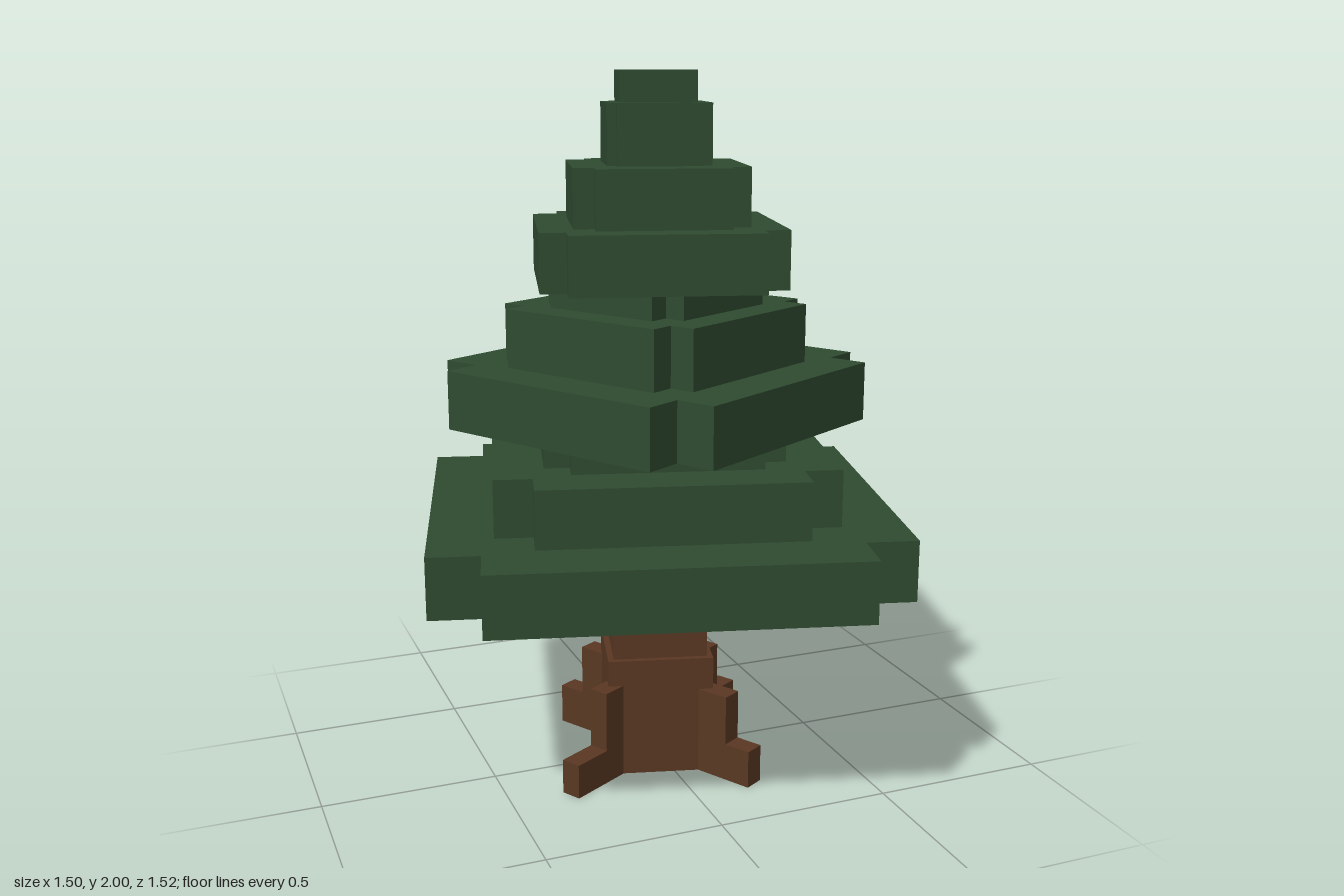
import * as THREE from 'three';

const needles = new THREE.MeshStandardMaterial({ color: 0x2f4b30 });
needles.name = 'needle green';
const bark = new THREE.MeshStandardMaterial({ color: 0x5a3823 });
bark.name = 'bark brown';

const rad = THREE.MathUtils.degToRad;

// Square slab with notched corners: arm = half reach, side = half width of each arm
function notchedSlab(arm, side, height) {
  const armZ = arm * 1.012;
  const outline = [
    [arm, -side], [arm, side], [side, side], [side, armZ], [-side, armZ], [-side, side],
    [-arm, side], [-arm, -side], [-side, -side], [-side, -armZ], [side, -armZ], [side, -side],
  ].map(([x, y]) => new THREE.Vector2(x, y));
  const geometry = new THREE.ExtrudeGeometry(new THREE.Shape(outline), { depth: height, bevelEnabled: false });
  return geometry.rotateX(-Math.PI / 2);
}

// Box standing on y0
function block(name, x0, x1, y0, y1, depth) {
  const geometry = new THREE.BoxGeometry(x1 - x0, y1 - y0, depth);
  geometry.translate((x0 + x1) / 2, (y0 + y1) / 2, 0);
  const mesh = new THREE.Mesh(geometry, bark);
  mesh.name = name;
  return mesh;
}

export function createModel() {
  const tree = new THREE.Group();
  tree.name = 'blockyPineTree';

  // Trunk: wide base and slimmer stem, both turned with the lower branches
  const trunk = new THREE.Group();
  trunk.name = 'trunk';
  trunk.rotation.y = rad(-15);
  trunk.add(block('trunkBase', -0.152, 0.152, 0, 0.35, 0.304));
  trunk.add(block('trunkStem', -0.135, 0.135, 0.35, 0.64, 0.27));
  tree.add(trunk);

  // Stepped roots at the trunk corners: angle, upper reach and height, lower reach and height
  const roots = [
    ['frontRoot', -60, 0.283, 0.255, 0.364, 0.11],
    ['leftRoot', 30, 0.271, 0.26, 0.358, 0.11],
    ['backRoot', 120, 0.266, 0.27, 0.352, 0.12],
    ['rightRoot', 210, 0.26, 0.275, 0.381, 0.1],
  ];
  for (const [name, angle, upperReach, upperTop, lowerReach, lowerTop] of roots) {
    const root = new THREE.Group();
    root.name = name;
    root.rotation.y = rad(angle);
    root.add(block('rootUpperStep', 0.15, upperReach, 0, upperTop, 0.06));
    root.add(block('rootLowerStep', upperReach, lowerReach, 0, lowerTop, 0.06));
    tree.add(root);
  }

  // Branch tiers: bottom, top, arm reach, arm half width, turn in degrees
  const tiers = [
    [0.63, 0.80, 0.643, 0.5, -15],
    [0.80, 0.96, 0.467, 0.362, -15],
    [0.96, 1.03, 0.33, 0.26, -15],
    [1.03, 1.195, 0.467, 0.358, 30],
    [1.195, 1.36, 0.33, 0.26, 30],
    [1.36, 1.43, 0.238, 0.18, 30],
    [1.43, 1.59, 0.332, 0.26, -15],
    [1.59, 1.75, 0.238, 0.182, -15],
    [1.75, 1.915, 0.142, 0.117, -15],
    [1.915, 2.0, 0.105, 0.088, -15],
  ];
  const foliage = new THREE.Group();
  foliage.name = 'foliage';
  tiers.forEach(([bottom, top, arm, side, turn], i) => {
    const tier = new THREE.Mesh(notchedSlab(arm, side, top - bottom), needles);
    tier.name = `branchTier${i + 1}`;
    tier.position.y = bottom;
    tier.rotation.y = rad(turn);
    foliage.add(tier);
  });
  tree.add(foliage);

  return tree;
}
